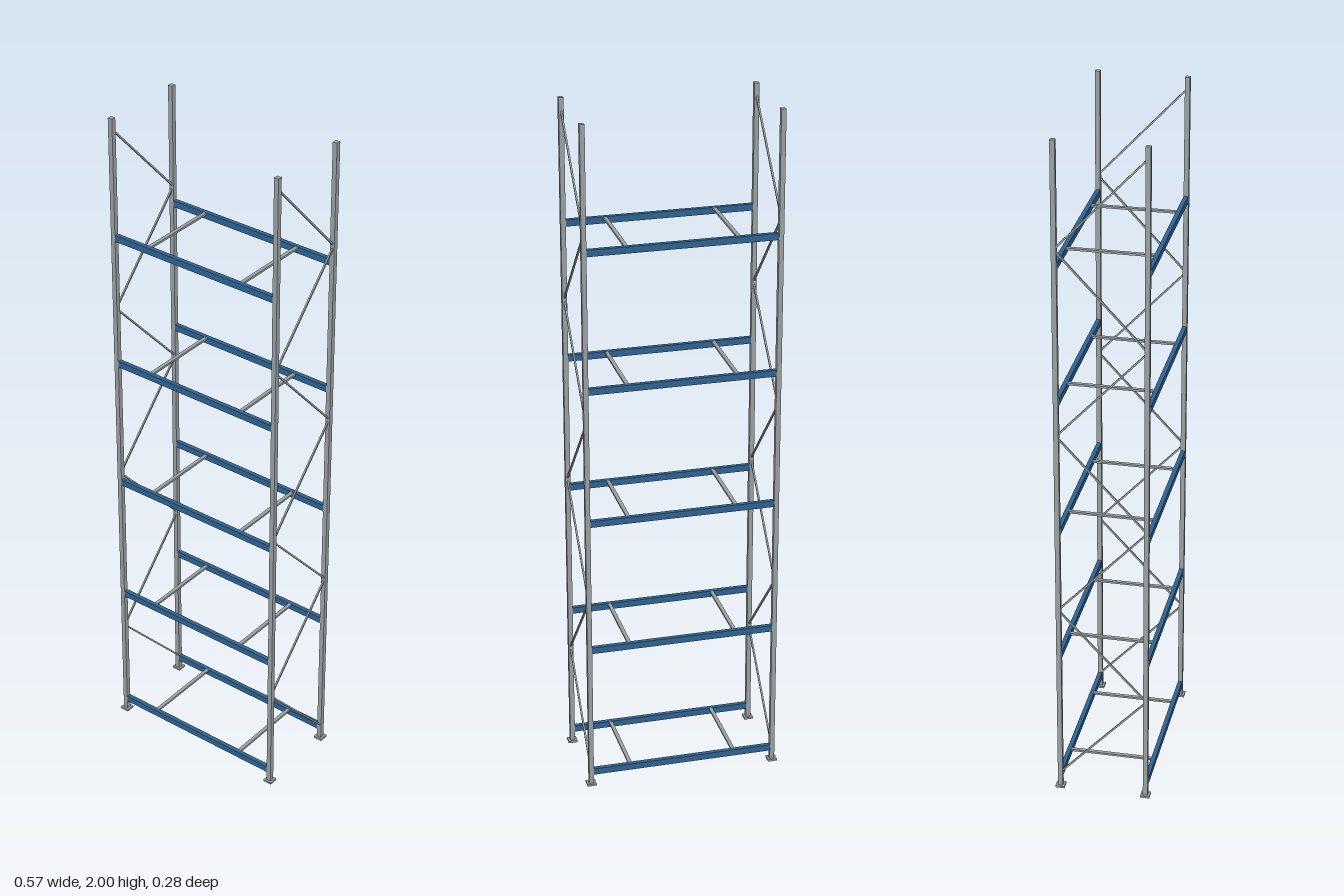
import * as THREE from 'three';

const PX = 0.274, PZ = 0.126, POST = 0.014;

export function createModel() {
  const model = new THREE.Group();
  model.name = 'palletRack';
  const steel = new THREE.MeshStandardMaterial({ color: 0x9aa1a3 });
  steel.name = 'galvanised steel';
  const blue = new THREE.MeshStandardMaterial({ color: 0x2f6290 });
  blue.name = 'blue paint';

  const box = (name, parent, mat, size, pos) => {
    const mesh = new THREE.Mesh(new THREE.BoxGeometry(...size), mat);
    mesh.name = name;
    mesh.position.set(...pos);
    parent.add(mesh);
    return mesh;
  };

  // End frames: two posts on foot plates, joined by zigzag braces
  for (const side of [1, -1]) {
    const frame = new THREE.Group();
    frame.name = side > 0 ? 'leftFrame' : 'rightFrame';
    model.add(frame);
    const x = side * PX;
    for (const z of [PZ, -PZ]) {
      box('post', frame, steel, [POST, 2, POST], [x, 1, z]);
      box('footPlate', frame, steel, [0.027, 0.006, 0.027], [x, 0.003, z]);
    }
    const reach = PZ - 0.003;
    for (let i = 0; i < 7; i++) {
      const top = 1.963 - i * 0.2745, bottom = top - 0.265;
      const dz = (i % 2 ? 1 : -1) * 2 * reach;
      const brace = box('brace', frame, steel,
        [0.005, Math.hypot(dz, top - bottom), 0.005], [x, (top + bottom) / 2, 0]);
      brace.rotation.x = Math.atan2(-dz, top - bottom);
    }
  }

  // Shelf levels: front and back beams with two cross bars
  for (const y of [0.043, 0.443, 0.843, 1.243, 1.643]) {
    const level = new THREE.Group();
    level.name = 'shelfLevel';
    level.position.y = y;
    model.add(level);
    for (const z of [PZ, -PZ]) {
      box('beam', level, blue, [2 * PX - POST, 0.019, 0.013], [0, 0, z]);
    }
    for (const x of [0.156, -0.156]) {
      box('crossBar', level, steel, [0.011, 0.006, 2 * PZ - 0.012], [x, 0.006, 0]);
    }
  }
  return model;
}
